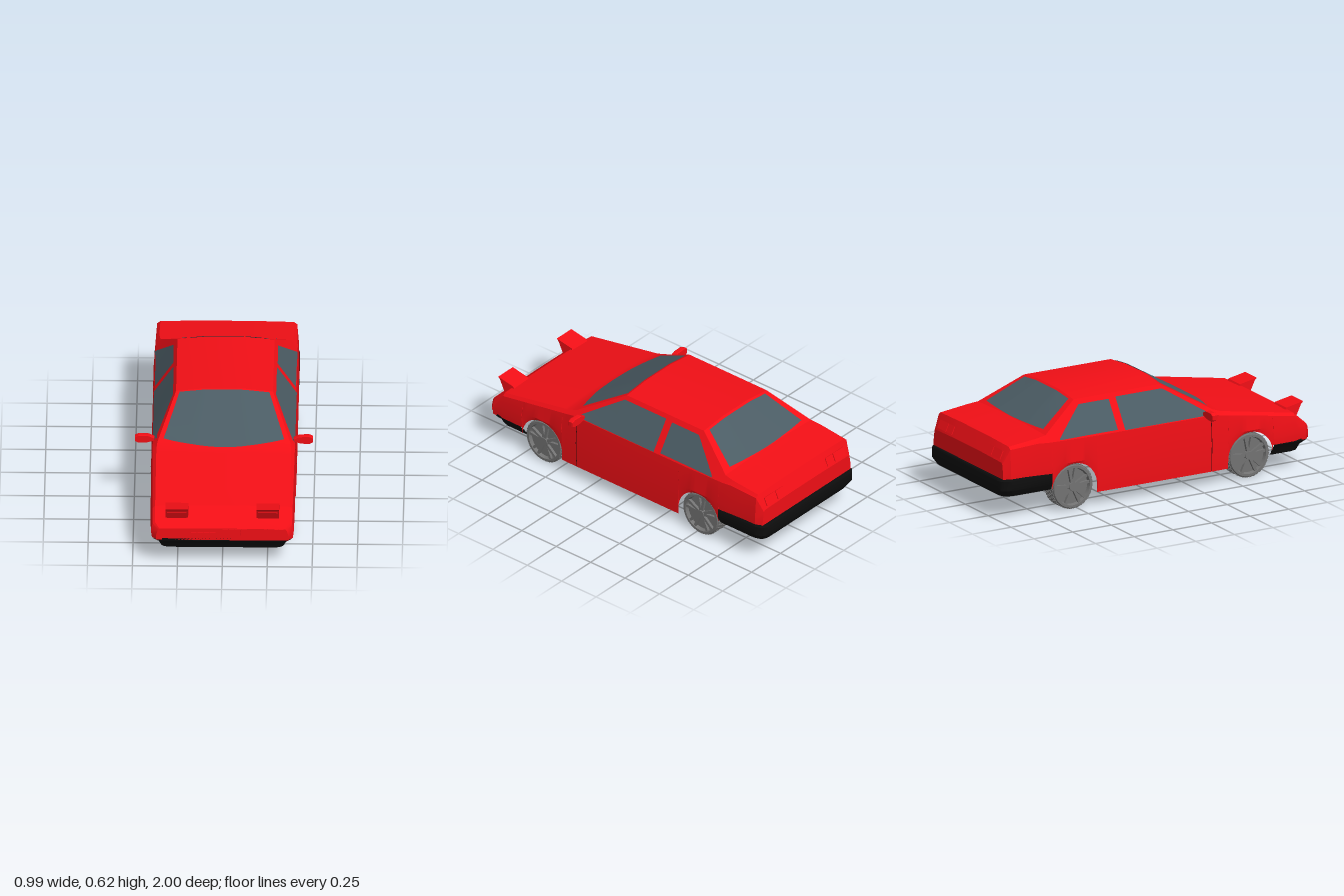
import * as THREE from 'three';
import { toCreasedNormals, mergeGeometries } from 'three/addons/utils/BufferGeometryUtils.js';

const mat = (color) => new THREE.MeshStandardMaterial({ color, side: THREE.DoubleSide });
const { lerp } = THREE.MathUtils;

// Body stations: z, roof/hood height, rail x, rail y, belt x, belt y
const STATIONS = [
  [1.0, 0.245, 0.35, 0.243, 0.358, 0.235],
  [0.97, 0.273, 0.375, 0.268, 0.388, 0.258],
  [0.9, 0.335, 0.375, 0.33, 0.39, 0.315],
  [0.43, 0.422, 0.375, 0.415, 0.395, 0.395],
  [0.38, 0.45, 0.37, 0.432, 0.396, 0.405],
  [0.1, 0.615, 0.27, 0.597, 0.396, 0.405],
  [-0.46, 0.615, 0.27, 0.597, 0.396, 0.408],
  [-0.7, 0.46, 0.368, 0.452, 0.396, 0.415],
  [-0.76, 0.452, 0.375, 0.445, 0.394, 0.42],
  [-0.94, 0.43, 0.372, 0.425, 0.39, 0.41],
  [-0.98, 0.34, 0.36, 0.335, 0.37, 0.325],
];
const AXLES = [0.61, -0.53];
const ARCH = 0.146;

// Linear lookup in a list of [key, ...values] rows sorted by falling key
function lookup(rows, k) {
  let i = 0;
  while (i < rows.length - 2 && k < rows[i + 1][0]) i++;
  const a = rows[i], b = rows[i + 1];
  const t = THREE.MathUtils.clamp((k - a[0]) / (b[0] - a[0]), 0, 1);
  return a.map((v, j) => lerp(v, b[j], t));
}

// Lower edge of the body side with the wheel arches
function bottomY(z) {
  for (const c of AXLES) {
    const d = Math.abs(z - c);
    if (d < ARCH) return 0.124 + Math.sqrt(ARCH * ARCH - d * d);
  }
  return z > AXLES[0] ? 0.17 : z < AXLES[1] ? 0.2 : 0.08;
}

// Left half of a cross-section, from the roof down to the sill
function half(z) {
  const [, yT, xR, yR, xB, yB] = lookup(STATIONS, z);
  const bot = bottomY(z);
  return [[0.4 * xR, yT], [xR, yR], [xB, yB], [xB + 0.01, Math.min(0.28, (yB + bot) / 2)], [xB + 0.004, bot]];
}
const topY = (z, x) => {
  const [a, b] = half(z);
  return Math.abs(x) < a[0] ? a[1] : lerp(a[1], b[1], (Math.abs(x) - a[0]) / (b[0] - a[0]));
};
const sideX = (z, y) => lookup(half(z).slice(1).map(([x, h]) => [h, x]), y)[1];

// Surface through a grid of points
function surface(rows, crease = 0.4) {
  const n = rows[0].length, idx = [];
  for (let i = 0; i < rows.length - 1; i++)
    for (let j = 0; j < n - 1; j++) {
      const a = i * n + j, b = a + n;
      idx.push(a, b, a + 1, b, b + 1, a + 1);
    }
  const g = new THREE.BufferGeometry();
  g.setAttribute('position', new THREE.Float32BufferAttribute(rows.flat(2), 3));
  g.setIndex(idx);
  return toCreasedNormals(g, crease);
}

function bodyGeometry() {
  const zs = STATIONS.map((s) => s[0]);
  for (const c of AXLES) {
    for (let i = 0; i <= 20; i++) zs.push(c + ARCH * 0.9999 * Math.cos((i / 20) * Math.PI));
    zs.push(c + ARCH + 1e-4, c - ARCH - 1e-4);
  }
  zs.sort((a, b) => b - a);
  const section = (z) => {
    const h = half(z);
    return [...h.map(([x, y]) => [-x, y, z]).reverse(), ...h.map(([x, y]) => [x, y, z])];
  };
  const rows = zs.map(section);
  // nose and tail are closed by flattening the end section to its lower edge
  const flat = (r) => r.map(([x, , z]) => [x, r[0][1], z]);
  return surface([flat(rows[0]), ...rows, flat(rows[rows.length - 1])]);
}

// Panel lying on the top of the body; ends given as z and half-width
function topPanel(zLow, xLow, zHigh, xHigh, bow, off) {
  const rows = [];
  for (let i = 0; i <= 10; i++) {
    const row = [];
    for (let j = 0; j <= 20; j++) {
      const u = j / 10 - 1, v = i / 10;
      const z = lerp(zLow - bow * u * u, zHigh, v), x = u * lerp(xLow, xHigh, v);
      row.push([x, topY(z, x) + off, z]);
    }
    rows.push(row);
  }
  return surface(rows);
}

// Panel lying on the body side between two height outlines
function sidePanel(side, top, low, off) {
  const z0 = top[0][0], z1 = top[top.length - 1][0], zs = top.map((p) => p[0]);
  for (let i = 1; i < 12; i++) zs.push(lerp(z0, z1, i / 12));
  zs.sort((a, b) => b - a);
  return surface(zs.map((z) => {
    const yt = lookup(top, z)[1];
    return [0, 0.25, 0.5, 0.75, 1].map((t) => {
      const y = lerp(yt, low, t);
      return [side * (sideX(z, y) + off), y, z];
    });
  }));
}

// Bumper: profile of [inset, y] swept round a U-shaped path
function bumper(profile, w, zEnd, zTip) {
  const s = Math.sign(zTip);
  return surface(profile.map(([d, y]) => {
    const a = w - d, b = zTip - s * d;
    const h = [[a, zEnd], [a, b - s * 0.06], [a - 0.012, b - s * 0.022], [a - 0.03, b - s * 0.006], [a - 0.06, b]];
    return [...h.map(([x, z]) => [x, y, z]), ...h.map(([x, z]) => [-x, y, z]).reverse()];
  }), 0.6);
}

// Wheel with its axle on x and its outer face at +x
function makeWheel(material) {
  const wheel = new THREE.Group();
  const add = (name, geo) => { const m = new THREE.Mesh(geo, material); m.name = name; wheel.add(m); return m; };
  const pts = [[0, -0.05], [0.118, -0.05], [0.126, -0.044], [0.126, 0.044], [0.122, 0.05], [0.108, 0.05], [0.102, 0.03], [0, 0.03]];
  add('tyre', toCreasedNormals(new THREE.LatheGeometry(pts.map((p) => new THREE.Vector2(...p)), 40), 0.5)).rotation.z = -Math.PI / 2;
  // tread blocks
  const blocks = [];
  for (let r = 0; r < 4; r++)
    for (let i = 0; i < 36; i++) {
      const b = new THREE.BoxGeometry(0.018, 0.008, 0.016);
      b.translate(-0.033 + r * 0.022, 0.1262, 0);
      b.rotateX(((i + (r % 2) / 2) / 36) * Math.PI * 2);
      blocks.push(b);
    }
  add('tread', mergeGeometries(blocks));
  // forked spokes
  const spokes = [];
  for (let i = 0; i < 5; i++)
    for (const s of [-1, 1]) {
      const b = new THREE.BoxGeometry(0.016, 0.098, 0.016);
      b.translate(0.038, 0.058, 0);
      b.rotateX((i / 5) * Math.PI * 2 + s * 0.2);
      spokes.push(b);
    }
  add('spokes', mergeGeometries(spokes));
  const hub = add('hub', new THREE.CylinderGeometry(0.024, 0.028, 0.02, 20));
  hub.rotation.z = -Math.PI / 2;
  hub.position.x = 0.04;
  return wheel;
}

export function createModel() {
  const car = new THREE.Group();
  const red = mat(0xf20f16), glass = mat(0x4b5c64), black = mat(0x0d0d0d), grey = mat(0x727272), seam = mat(0x4a0508);
  const add = (name, geo, m, parent = car) => { const o = new THREE.Mesh(geo, m); o.name = name; parent.add(o); return o; };
  const box = (name, w, h, d, x, y, z, m, tilt = 0) => {
    const o = add(name, new THREE.BoxGeometry(w, h, d), m);
    o.position.set(x, y, z);
    o.rotation.x = tilt;
  };

  add('bodyShell', bodyGeometry(), red);

  // glass, seen from outside and inside
  for (const off of [0.004, -0.004]) {
    add('windshield', topPanel(0.425, 0.335, 0.11, 0.25, 0.06, off), glass);
    add('rearWindow', topPanel(-0.7, 0.31, -0.475, 0.24, -0.02, off), glass);
    for (const s of [1, -1]) {
      add('doorWindow', sidePanel(s, [[0.34, 0.425], [0.1, 0.577], [-0.2, 0.577]], 0.41, off), glass);
      add('quarterWindow', sidePanel(s, [[-0.245, 0.572], [-0.44, 0.572], [-0.62, 0.425]], 0.418, off), glass);
    }
  }
  add('trunkLid', topPanel(-0.925, 0.17, -0.72, 0.17, 0, 0.003), red);

  // bumpers
  add('frontBumper', bumper([[0.02, 0.18], [0, 0.18], [0, 0.165], [0.028, 0.135], [0.042, 0.1], [0.06, 0.1]], 0.394, 0.765, 1.0), black);
  add('rearBumper', bumper([[0.04, 0.24], [0.006, 0.24], [0, 0.23], [0, 0.175], [0.022, 0.137], [0.08, 0.137]], 0.405, -0.675, -1.0), black);

  // grille cells
  for (let i = 0; i < 10; i++)
    for (const y of [0.21, 0.231]) box('grilleCell', 0.031, 0.016, 0.006, (i - 4.5) * 0.035, y, 0.999, red);

  const mirrorShape = new THREE.Shape([[0.39, 0.415], [0.39, 0.43], [0.42, 0.444], [0.475, 0.446], [0.494, 0.436], [0.494, 0.412], [0.475, 0.401], [0.43, 0.403]].map((p) => new THREE.Vector2(...p)));
  const popUpShape = new THREE.Shape([[0.88, 0.33], [0.89, 0.345], [0.998, 0.366], [0.985, 0.352], [0.948, 0.275], [0.93, 0.275]].map((p) => new THREE.Vector2(...p)));

  for (const s of [1, -1]) {
    const side = s > 0 ? 'left' : 'right';
    // front indicators
    for (const [x, w] of [[0.22, 0.056], [0.282, 0.056], [0.327, 0.03]]) box(side + 'Indicator', w, 0.038, 0.006, s * x, 0.222, 0.999, red);
    // raised headlights
    const pod = add(side + 'HeadlightPod', new THREE.ExtrudeGeometry(popUpShape, { depth: 0.126, bevelEnabled: false }), red);
    pod.rotation.y = -Math.PI / 2;
    pod.position.x = s * 0.253 + 0.063;
    box(side + 'HeadlightLens', 0.108, 0.055, 0.008, s * 0.253, 0.314, 0.967, red, 0.45);
    // tail lamps
    for (const [x, w] of [[0.215, 0.06], [0.295, 0.09]]) box(side + 'TailLamp', w, 0.05, 0.008, s * x, 0.372, -0.966, red, 0.42);
    // door mirror and door seam
    const mirror = add(side + 'Mirror', new THREE.ExtrudeGeometry(mirrorShape, { depth: 0.02, bevelEnabled: true, bevelSize: 0.002, bevelThickness: 0.006, bevelSegments: 1 }), red);
    mirror.position.z = 0.312;
    mirror.scale.x = s;
    add(side + 'DoorSeam', sidePanel(s, [[0.357, 0.4], [0.353, 0.4]], 0.085, 0.002), seam);
    // wheels
    AXLES.forEach((z, i) => {
      const wheel = makeWheel(grey);
      wheel.name = side + (i ? 'Rear' : 'Front') + 'Wheel';
      wheel.position.set(s * 0.335, 0.13, z);
      if (s < 0) wheel.rotation.y = Math.PI;
      car.add(wheel);
    });
  }
  return car;
}
